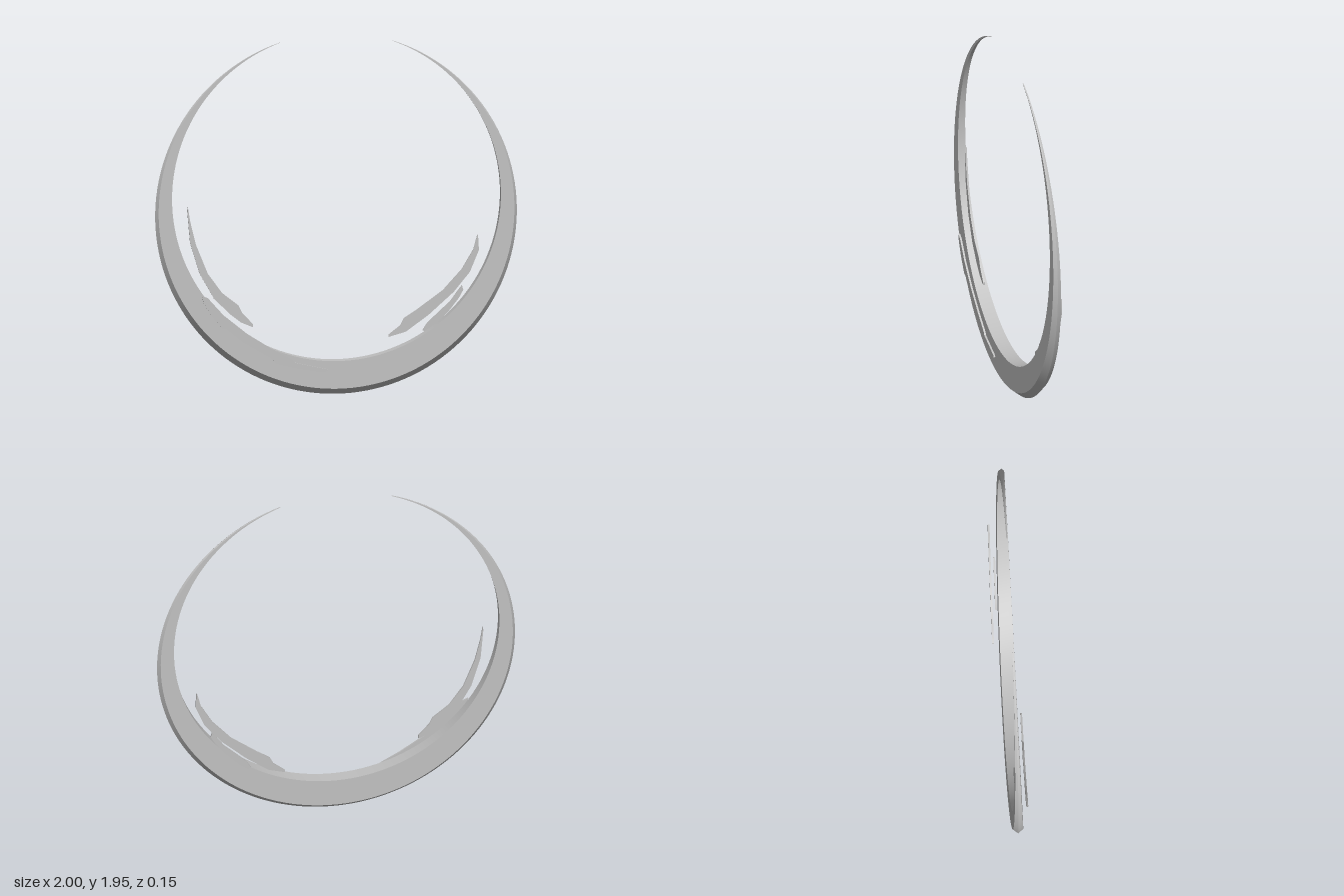
import * as THREE from 'three';
import { toCreasedNormals } from 'three/addons/utils/BufferGeometryUtils.js';

const steel = new THREE.MeshStandardMaterial({ color: 0xc0c0c0 });
steel.name = 'steel grey';

const MID_Z = 0.008;

// Half thickness shrinks evenly from the bottom to the tips
const halfDepth = (y) => 0.003 + 0.04 * (1 - y / 1.95);

// Five-point cross-section of the crescent, t from -1 (one tip) to 1 (other tip)
function crescentSection(t) {
  const a = t * 2.826, b = t * 2.794;
  const outer = new THREE.Vector2(Math.sin(a), 1 - Math.cos(a));
  const inner = new THREE.Vector2(0.909 * Math.sin(b), 1.095 - 0.909 * Math.cos(b));
  const bevel = outer.clone().lerp(inner, 0.18);
  const at = (p, side) => [p.x, p.y, MID_Z + side * halfDepth(p.y)];
  return [at(inner, 1), at(bevel, 1), at(outer, 0), at(bevel, -1), at(inner, -1)];
}

function crescentGeometry(segments = 128) {
  const positions = [];
  for (let i = 0; i < segments; i++) {
    const p = crescentSection((2 * i) / segments - 1);
    const q = crescentSection((2 * (i + 1)) / segments - 1);
    for (let k = 0; k < 5; k++) {
      const n = (k + 1) % 5;
      positions.push(...p[k], ...p[n], ...q[n], ...p[k], ...q[n], ...q[k]);
    }
  }
  const geometry = new THREE.BufferGeometry();
  geometry.setAttribute('position', new THREE.Float32BufferAttribute(positions, 3));
  return toCreasedNormals(geometry, 0.35);
}

// Thin floating splinters: outline in the front plane and centre depth
const splinters = [
  {
    name: 'innerSplinter', z: 0.01,
    outline: [[-0.82, 1.05], [-0.807, 0.97], [-0.775, 0.84], [-0.71, 0.68], [-0.63, 0.57],
      [-0.54, 0.5], [-0.52, 0.46], [-0.46, 0.395], [-0.46, 0.378], [-0.525, 0.405],
      [-0.59, 0.455], [-0.675, 0.54], [-0.755, 0.68], [-0.807, 0.85], [-0.823, 1.03]],
  },
  {
    name: 'frontSplinter', z: 0.068,
    outline: [[-0.75, 0.567], [-0.715, 0.55], [-0.63, 0.455], [-0.5, 0.35], [-0.365, 0.265],
      [-0.245, 0.2], [-0.235, 0.185], [-0.055, 0.145], [-0.05, 0.135], [-0.085, 0.128],
      [-0.215, 0.15], [-0.34, 0.18], [-0.365, 0.21], [-0.525, 0.305], [-0.61, 0.375],
      [-0.635, 0.38], [-0.695, 0.45], [-0.74, 0.525]],
  },
  {
    name: 'rearLongSplinter', z: -0.068,
    outline: [[0.795, 0.855], [0.8, 0.77], [0.75, 0.65], [0.66, 0.54], [0.52, 0.415],
      [0.395, 0.325], [0.3, 0.298], [0.3, 0.31], [0.365, 0.36], [0.385, 0.4],
      [0.455, 0.445], [0.6, 0.55], [0.705, 0.665], [0.77, 0.775], [0.79, 0.85]],
  },
  {
    name: 'rearShortSplinter', z: -0.042,
    outline: [[0.703, 0.58], [0.71, 0.555], [0.685, 0.51], [0.63, 0.44], [0.55, 0.36],
      [0.5, 0.325], [0.485, 0.335], [0.51, 0.375], [0.59, 0.45], [0.635, 0.49], [0.69, 0.565]],
  },
];

function splinterGeometry(outline, depth = 0.01) {
  const shape = new THREE.Shape(outline.map(([x, y]) => new THREE.Vector2(x, y)));
  const geometry = new THREE.ExtrudeGeometry(shape, { depth, bevelEnabled: false });
  geometry.translate(0, 0, -depth / 2);
  return toCreasedNormals(geometry, 0.6);
}

export function createModel() {
  const model = new THREE.Group();
  model.name = 'crescentRing';

  const blade = new THREE.Mesh(crescentGeometry(), steel);
  blade.name = 'crescentBlade';
  model.add(blade);

  for (const { name, z, outline } of splinters) {
    const splinter = new THREE.Mesh(splinterGeometry(outline), steel);
    splinter.name = name;
    splinter.position.z = z;
    model.add(splinter);
  }
  return model;
}
